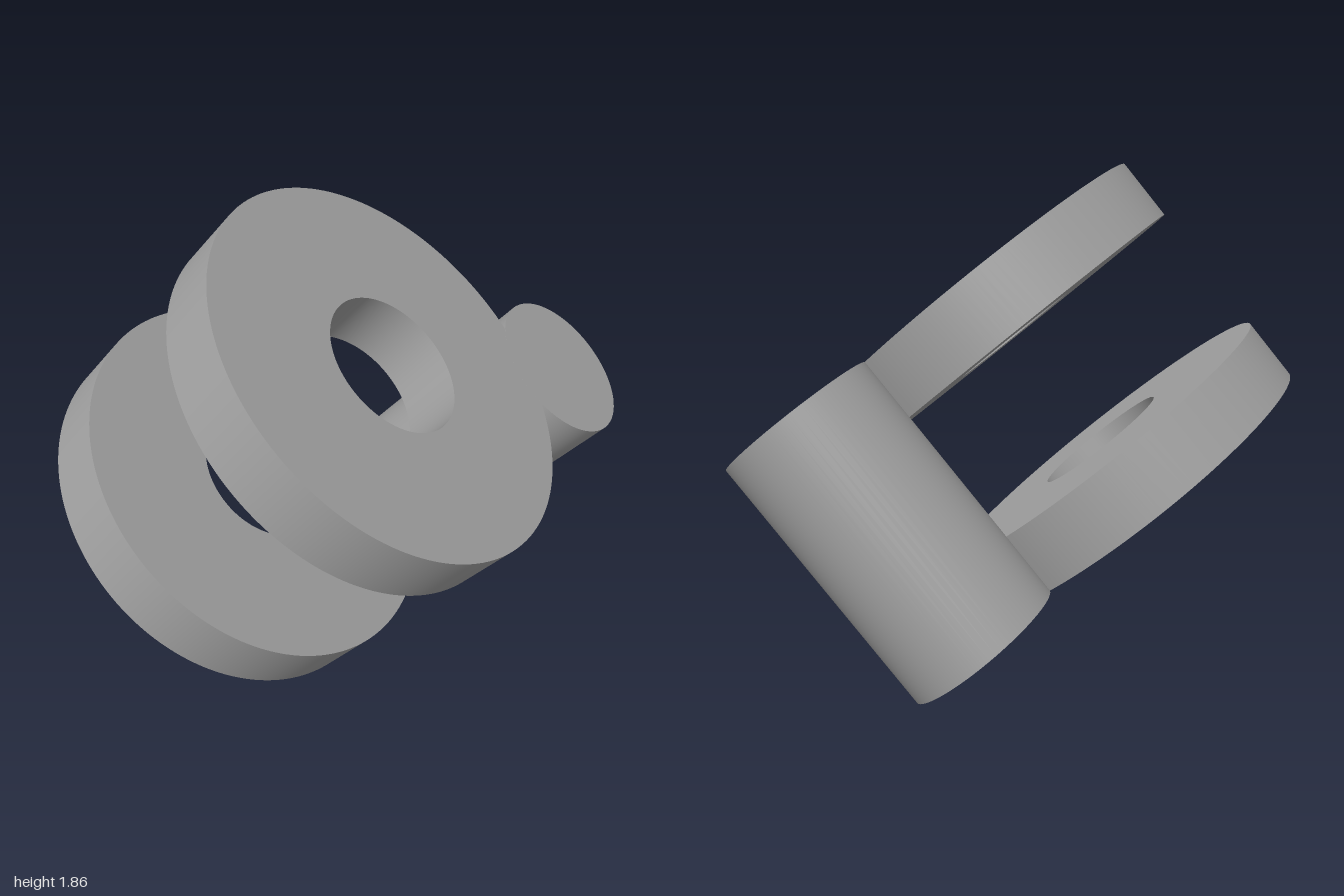
import * as THREE from 'three';
import { toCreasedNormals } from 'three/addons/utils/BufferGeometryUtils.js';

const POST_R = 0.305, POST_LEN = 1.047;
const RING_R = 0.756, HOLE_R = 0.275, RING_T = 0.25;
const SPACING = 0.99; // post axis to ring axis

// Washer outline with a notch where the post passes through its rim
function ringGeometry() {
  const d = SPACING;
  const a = Math.PI - Math.acos((d * d + RING_R ** 2 - POST_R ** 2) / (2 * d * RING_R));
  const b = Math.acos((d * d + POST_R ** 2 - RING_R ** 2) / (2 * d * POST_R));
  const shape = new THREE.Shape();
  shape.absarc(d, 0, RING_R, -a, a, false);
  shape.absarc(0, 0, POST_R, b, -b, true);
  const hole = new THREE.Path();
  hole.absarc(d, 0, HOLE_R, 0, Math.PI * 2, true);
  shape.holes.push(hole);
  const geo = new THREE.ExtrudeGeometry(shape, { depth: RING_T, bevelEnabled: false, curveSegments: 72 });
  return toCreasedNormals(geo, 0.5);
}

export function createModel() {
  const grey = new THREE.MeshStandardMaterial({ color: 0xa0a0a0 });
  grey.name = 'grey';

  // Upright bracket, built along local z from the bottom of the post
  const bracket = new THREE.Group();
  bracket.name = 'bracket';

  const post = new THREE.Mesh(
    new THREE.CylinderGeometry(POST_R, POST_R, POST_LEN, 72).rotateX(Math.PI / 2), grey);
  post.name = 'post';
  post.position.z = POST_LEN / 2;
  bracket.add(post);

  // Two identical rings, flush with the ends of the post
  const ringGeo = ringGeometry();
  for (const [name, z] of [['lowerRing', 0], ['upperRing', POST_LEN - RING_T]]) {
    const ring = new THREE.Mesh(ringGeo, grey);
    ring.name = name;
    ring.position.z = z;
    bracket.add(ring);
  }

  // Tilt: local z follows the post, local x points from post to ring centres
  const axis = new THREE.Vector3(0.631, 0.77, -0.091).normalize();
  const arm = new THREE.Vector3(-0.3355, 0.378, 0.863).projectOnPlane(axis).normalize();
  const side = new THREE.Vector3().crossVectors(axis, arm);
  bracket.quaternion.setFromRotationMatrix(new THREE.Matrix4().makeBasis(arm, side, axis));
  bracket.position.set(0.005, 0.195, -0.605);

  const model = new THREE.Group();
  model.name = 'tiltedRingBracket';
  model.add(bracket);
  return model;
}
